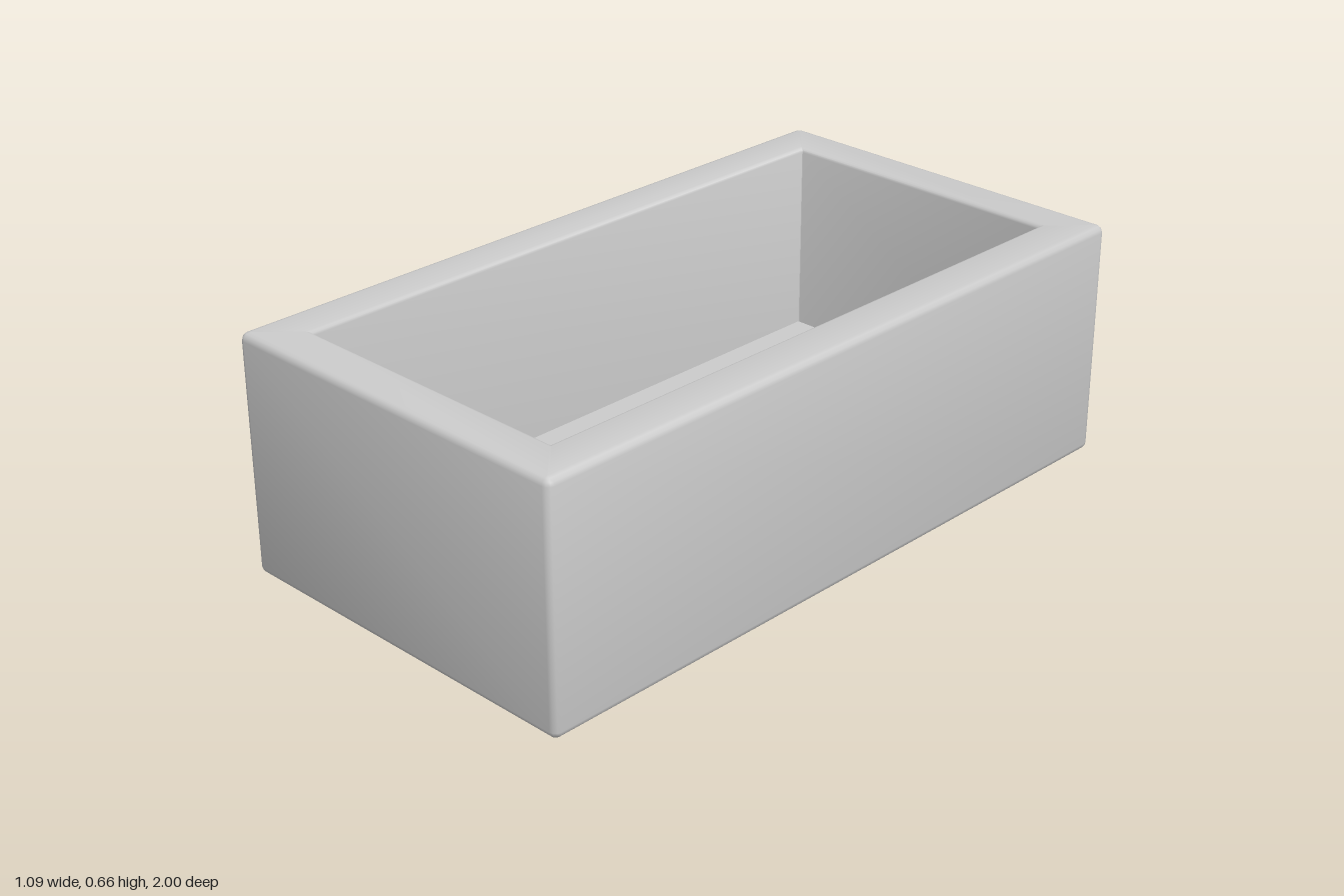
import * as THREE from 'three';
import { toCreasedNormals } from 'three/addons/utils/BufferGeometryUtils.js';

const HALF_X = 0.543, HALF_Z = 1, HEIGHT = 0.66;
const WALL = 0.125, FLOOR = 0.12;
const BEVEL = 0.02, LIP = 0.012, STEPS = 3;

// Profile from the bottom, up the outside, over the rim and down to the floor: [inset, y]
function wallProfile() {
  const profile = [];
  const arc = (inset, y, r, from, to) => {
    for (let i = 0; i <= STEPS; i++) {
      const a = from + (to - from) * i / STEPS;
      profile.push([inset - r * Math.cos(a), y + r * Math.sin(a)]);
    }
  };
  arc(BEVEL, BEVEL, BEVEL, -Math.PI / 2, 0);
  arc(BEVEL, HEIGHT - BEVEL, BEVEL, 0, Math.PI / 2);
  arc(WALL - LIP, HEIGHT - LIP, LIP, Math.PI / 2, Math.PI);
  profile.push([WALL, FLOOR]);
  return profile;
}

// Rounded rectangle at a given inset from the outer faces
function ring(inset, y) {
  const points = [];
  const r = Math.max(BEVEL - inset, 0.003);
  const cx = HALF_X - inset - r, cz = HALF_Z - inset - r;
  [[1, 1], [-1, 1], [-1, -1], [1, -1]].forEach(([sx, sz], corner) => {
    for (let i = 0; i <= STEPS; i++) {
      const a = (corner + i / STEPS) * Math.PI / 2;
      points.push([sx * cx + r * Math.cos(a), y, sz * cz + r * Math.sin(a)]);
    }
  });
  return points;
}

// Joins the rings into a closed skin, with a fan at the underside and the inner floor
function boxGeometry() {
  const rings = wallProfile().map(([inset, y]) => ring(inset, y));
  const n = rings[0].length;
  const positions = rings.flat(2);
  const bottom = rings.length * n, floor = bottom + 1;
  positions.push(0, 0, 0, 0, FLOOR, 0);

  const index = [];
  const last = (rings.length - 1) * n;
  for (let i = 0; i < n; i++) {
    const j = (i + 1) % n;
    for (let k = 0; k < last; k += n) {
      index.push(k + i, k + n + i, k + n + j, k + i, k + n + j, k + j);
    }
    index.push(bottom, i, j, floor, last + j, last + i);
  }
  const geometry = new THREE.BufferGeometry();
  geometry.setAttribute('position', new THREE.Float32BufferAttribute(positions, 3));
  geometry.setIndex(index);
  return toCreasedNormals(geometry, 0.7);
}

export function createModel() {
  const group = new THREE.Group();
  group.name = 'openBox';
  const body = new THREE.Mesh(boxGeometry(), new THREE.MeshStandardMaterial({ color: 0xcccccc }));
  body.name = 'boxBody';
  group.add(body);
  return group;
}
